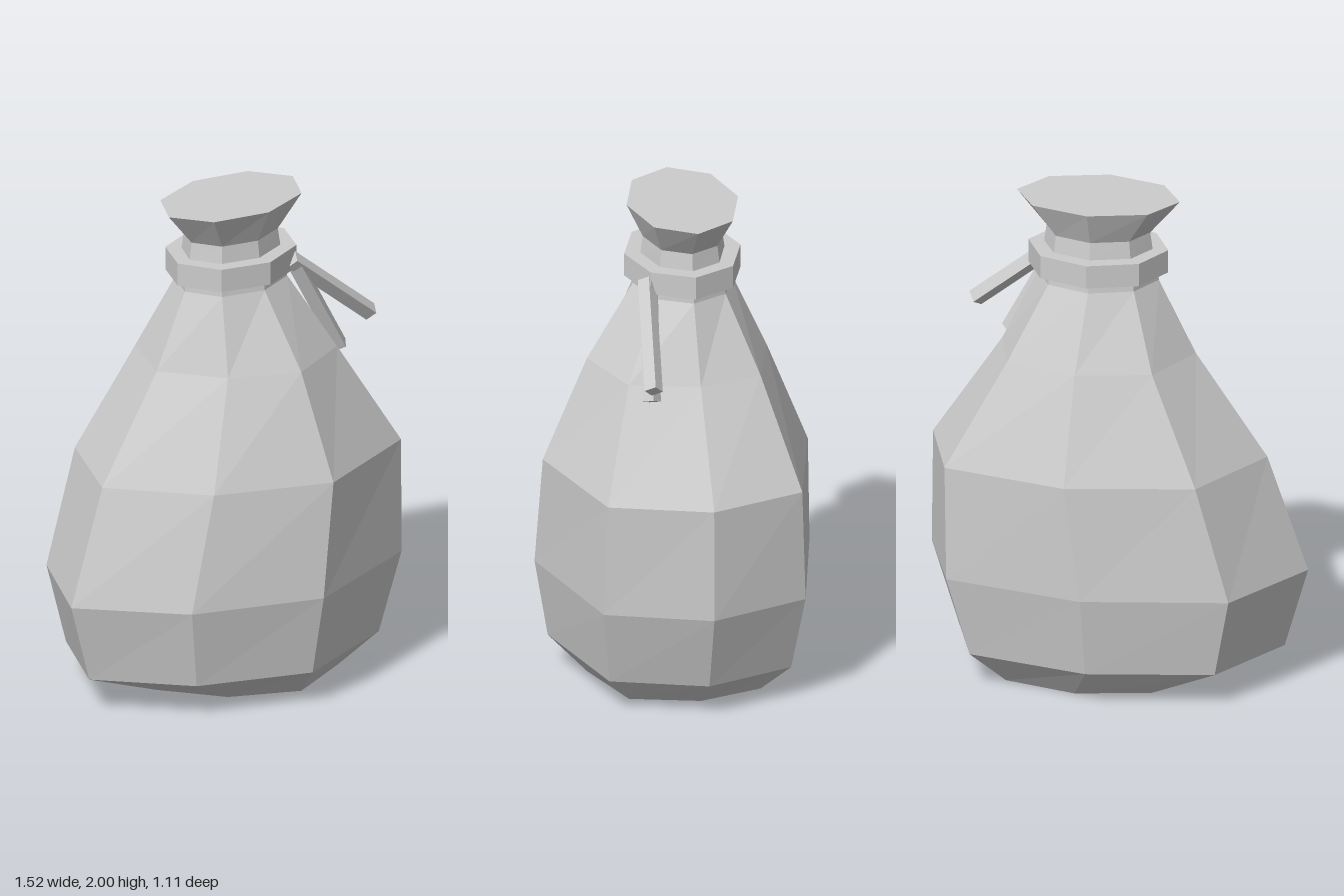
import * as THREE from 'three';

// Centre line of the sack's depth, and of the neck's width
const MID_Z = -0.035;
const MID_X = 0.085;

// Loft closed rings of points (bottom to top) into a capped, flat-faced skin
function loft(rings) {
  const pos = [];
  const tri = (a, b, c) => pos.push(...a, ...b, ...c);
  const n = rings[0].length;
  for (let r = 0; r < rings.length - 1; r++) {
    for (let i = 0; i < n; i++) {
      const j = (i + 1) % n;
      const a = rings[r][i], b = rings[r][j], c = rings[r + 1][j], d = rings[r + 1][i];
      tri(a, b, c);
      tri(a, c, d);
    }
  }
  const low = rings[0], high = rings[rings.length - 1];
  for (let i = 1; i < n - 1; i++) {
    tri(low[0], low[i + 1], low[i]);
    tri(high[0], high[i], high[i + 1]);
  }
  const geo = new THREE.BufferGeometry();
  geo.setAttribute('position', new THREE.Float32BufferAttribute(pos, 3));
  geo.computeVertexNormals();
  return geo;
}

// Lopsided octagon, anticlockwise from above, given its middle and extents
function ring(y, cx, left, right, front, back) {
  const l = cx - left, r = right - cx, f = front - MID_Z, b = MID_Z - back;
  return [
    [right, 0],
    [cx + r * 0.8, -b * 0.76],
    [cx, -b],
    [cx - l * 0.71, -b * 0.79],
    [left, 0],
    [cx - l * 0.62, f * 0.63],
    [cx, f],
    [cx + r * 0.8, f * 0.71],
  ].map(([x, z]) => [x, y, MID_Z + z]);
}

// Regular stretched octagon for the neck, rim and cord
function oval(y, rx, rz) {
  return Array.from({ length: 8 }, (_, i) => {
    const a = (i * Math.PI) / 4;
    return [MID_X + rx * Math.cos(a), y, MID_Z - rz * Math.sin(a)];
  });
}

export function createModel() {
  const model = new THREE.Group();
  const grey = new THREE.MeshStandardMaterial({ color: 0xcccccc, flatShading: true });
  grey.name = 'plain grey';
  const add = (name, geo) => {
    const mesh = new THREE.Mesh(geo, grey);
    mesh.name = name;
    model.add(mesh);
    return mesh;
  };

  // Sagging sack with gathered neck and flared, closed mouth
  add('sack', loft([
    ring(0, 0.11, -0.31, 0.48, 0.355, -0.37),
    ring(0.14, 0.04, -0.67, 0.655, 0.5, -0.5),
    ring(0.47, 0.05, -0.765, 0.76, 0.555, -0.555),
    ring(0.94, 0.12, -0.6, 0.755, 0.535, -0.535),
    ring(1.36, 0.11, -0.31, 0.475, 0.355, -0.37),
    oval(1.66, 0.245, 0.2),
    oval(1.74, 0.24, 0.19),
    oval(1.79, 0.22, 0.17),
    oval(1.86, 0.21, 0.16),
    oval(2, 0.33, 0.225),
  ]));

  // Cord wrapped round the neck
  add('neckCord', loft([oval(1.695, 0.283, 0.235), oval(1.79, 0.283, 0.235)]));

  // Two loose cord ends hanging from the knot
  const ends = [
    ['longCordEnd', [0.25, 1.74, 0.14], [0.63, 1.43, 0.185]],
    ['shortCordEnd', [0.26, 1.74, 0.135], [0.485, 1.32, 0.165]],
  ];
  for (const [name, from, to] of ends) {
    const a = new THREE.Vector3(...from), b = new THREE.Vector3(...to);
    const dir = b.clone().sub(a);
    const mesh = add(name, new THREE.BoxGeometry(0.052, dir.length(), 0.052).rotateY(0.5));
    mesh.position.copy(a).add(b).multiplyScalar(0.5);
    mesh.quaternion.setFromUnitVectors(new THREE.Vector3(0, 1, 0), dir.normalize());
  }
  return model;
}
